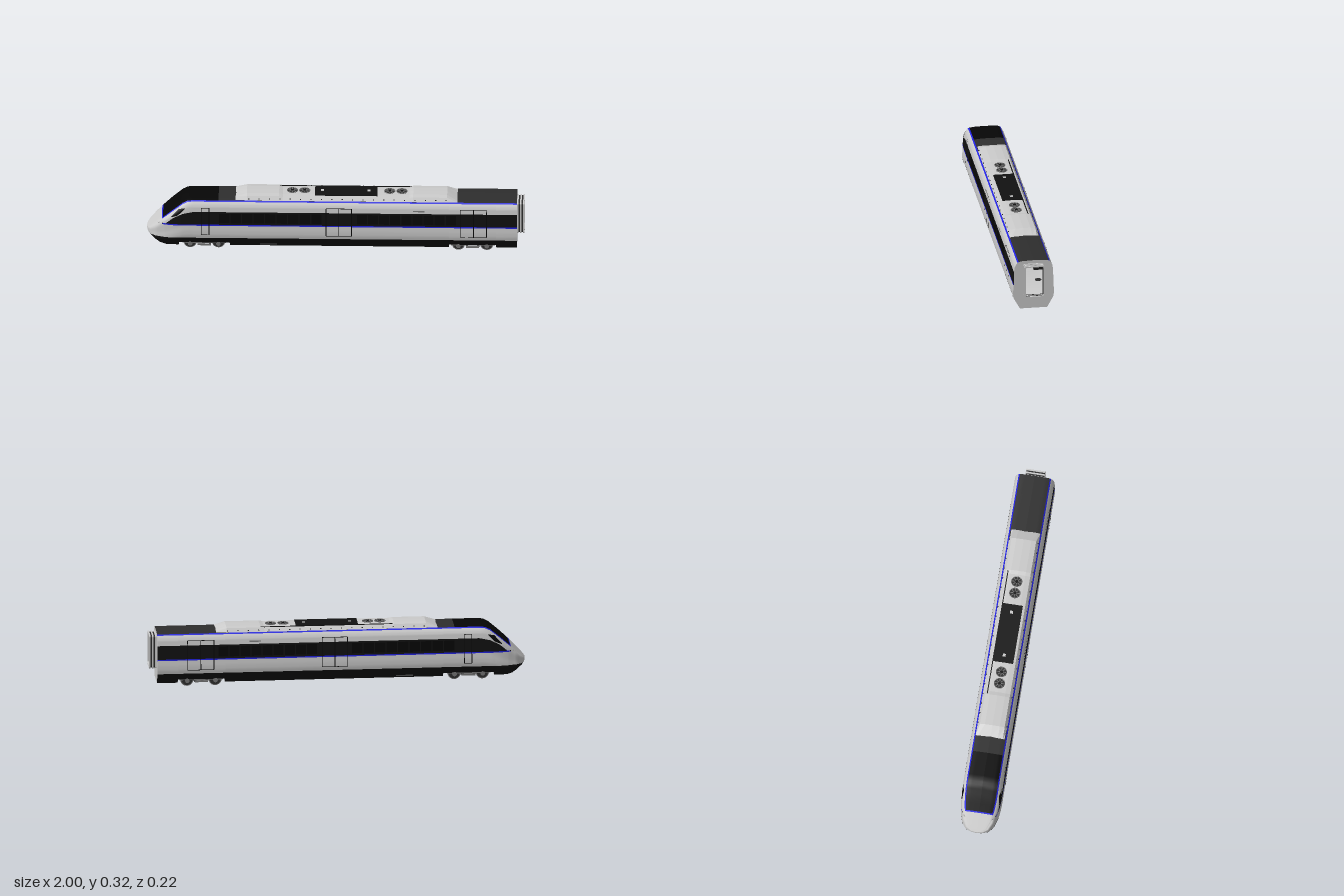
import * as THREE from 'three';

const mat = (color) => new THREE.MeshStandardMaterial({ color, side: THREE.DoubleSide });

// piecewise-linear lookup in a table of [key, value] pairs
function interp(table, k) {
  if (k <= table[0][0]) return table[0][1];
  for (let i = 1; i < table.length; i++) {
    const [k0, v0] = table[i - 1], [k1, v1] = table[i];
    if (k <= k1) return v0 + (v1 - v0) * (k - k0) / (k1 - k0);
  }
  return table[table.length - 1][1];
}

// body rules: half width by height, then nose top, bottom and plan taper by x
const PROFILE = [[0.022, 0.073], [0.08, 0.105], [0.1, 0.109], [0.125, 0.109], [0.16, 0.106], [0.235, 0.105],
  [0.262, 0.101], [0.277, 0.094], [0.288, 0.086], [0.2925, 0.08], [0.296, 0.06], [0.298, 0]];
const TOP = [[-1, 0.1], [-0.985, 0.116], [-0.92, 0.182], [-0.86, 0.238], [-0.81, 0.281], [-0.785, 0.294], [-0.76, 0.298]];
const BOTTOM = [[-1, 0.088], [-0.985, 0.07], [-0.96, 0.05], [-0.93, 0.03], [-0.9, 0.022]];
const PLAN = [[-1, 0.02], [-0.996, 0.3], [-0.982, 0.57], [-0.95, 0.78], [-0.9, 0.92], [-0.86, 0.98], [-0.82, 1]];
const LOW = 0.022, HIGH = 0.298, END = 0.96;
const topY = (x) => interp(TOP, x), bottomY = (x) => interp(BOTTOM, x);
const bodyY = (x, n) => bottomY(x) + (n - LOW) / (HIGH - LOW) * (topY(x) - bottomY(x));
const halfZ = (x, y) => interp(PLAN, x) *
  interp(PROFILE, LOW + (HIGH - LOW) * (y - bottomY(x)) / (topY(x) - bottomY(x)));
const inPit = (x) => (x > -0.83 && x < -0.56) || (x > 0.6 && x < 0.85);

// stations along the body, dense at the nose and doubled at the pit edges
const STATIONS = [-1, -0.998, -0.996, -0.99, -0.982, -0.97, -0.96, -0.95, -0.94, -0.93, -0.92, -0.91, -0.9, -0.88,
  -0.86, -0.84, -0.82, -0.81, -0.8, -0.785, -0.77, -0.76, -0.75, -0.62, -0.2, 0.3, END];
for (const e of [-0.83, -0.56, 0.6, 0.85]) STATIONS.push(e - 0.0005, e + 0.0005);
STATIONS.sort((a, b) => a - b);

// grid surface from rows of points
function grid(nu, nv, point, flip) {
  const pos = [], idx = [];
  for (let i = 0; i <= nu; i++) for (let j = 0; j <= nv; j++) pos.push(...point(i, j / nv));
  for (let i = 0; i < nu; i++) for (let j = 0; j < nv; j++) {
    const a = i * (nv + 1) + j, b = a + nv + 1;
    if (flip) idx.push(a, b + 1, b, a, a + 1, b + 1);
    else idx.push(a, b, b + 1, a, b + 1, a + 1);
  }
  const g = new THREE.BufferGeometry();
  g.setAttribute('position', new THREE.Float32BufferAttribute(pos, 3));
  g.setIndex(idx);
  g.computeVertexNormals();
  return g;
}

export function createModel() {
  const model = new THREE.Group();
  const grey = mat(0xcccccc), black = mat(0x111111), glass = mat(0x060606), dark = mat(0x2e2e2e);
  const blue = mat(0x2020e0), metal = mat(0x777777);

  function add(name, geometry, material, x = 0, y = 0, z = 0, parent = model) {
    const m = new THREE.Mesh(geometry, material);
    m.name = name;
    m.position.set(x, y, z);
    parent.add(m);
    return m;
  }
  const box = (name, material, w, h, d, x, y, z, parent) =>
    add(name, new THREE.BoxGeometry(w, h, d), material, x, y, z, parent);

  // strip of body skin between two height curves, on both sides
  function strip(name, material, x0, x1, lo, hi, rows = 8, out = 0) {
    const xs = [x0, ...STATIONS.filter((x) => x > x0 + 1e-4 && x < x1 - 1e-4), x1];
    const clampY = (x, y) => Math.min(Math.max(y, bottomY(x)), topY(x));
    for (const s of [1, -1]) {
      add(name, grid(xs.length - 1, rows, (i, t) => {
        const x = xs[i], a = clampY(x, lo(x)), y = a + (clampY(x, hi(x)) - a) * t;
        return [x, y, s * (halfZ(x, y) + out)];
      }, s < 0), material);
    }
  }
  const panel = (name, material, x0, x1, y0, y1, out = 0.0012) =>
    strip(name, material, x0, x1, () => y0, () => y1, 8, out);

  // livery curves
  const skirtLow = (x) => inPit(x) ? 0.042 : bottomY(x);
  const skirtTop = () => 0.08;
  const lineLow = () => 0.153;
  const lineTop = (x) => x < -0.915 ? 0.153 : 0.16;
  const bandTop = (x) => Math.max(lineTop(x), interp([[-0.9, 0.16], [-0.86, 0.195], [-0.81, 0.222], [-0.75, 0.235]], x));
  const edgeLow = (x) => bodyY(x, 0.287);
  const edgeTop = (x) => bodyY(x, 0.2925);

  strip('skirt', black, -1, END, skirtLow, skirtTop);
  strip('lowerSide', grey, -1, END, skirtTop, lineLow);
  strip('lowerStripe', blue, -1, END, lineLow, lineTop, 1);
  strip('windowBand', black, -0.92, END, lineTop, bandTop);
  strip('noseSide', grey, -1, -0.92, lineTop, edgeLow, 10);
  strip('upperSide', grey, -0.92, END, bandTop, edgeLow, 10);
  strip('noseTop', grey, -1, -0.92, edgeLow, topY, 10);
  strip('upperStripe', blue, -0.92, END, edgeLow, edgeTop, 2);
  strip('windshieldStripe', blue, -0.92, -0.914, edgeTop, topY, 6);
  strip('windshield', glass, -0.914, -0.62, edgeTop, topY, 6);
  strip('roof', dark, -0.62, END, edgeTop, topY, 6);

  // underside with recesses for the bogies
  const floorY = (x) => inPit(x) ? 0.075 : bottomY(x);
  add('underside', grid(STATIONS.length - 1, 4, (i, t) => {
    const x = STATIONS[i], y = floorY(x);
    return [x, y, (t * 2 - 1) * halfZ(x, y)];
  }, false), grey);

  // slanted cab side window
  strip('cabWindow', glass, -0.872, -0.795,
    (x) => interp([[-0.872, 0.198], [-0.835, 0.212], [-0.795, 0.253]], x),
    (x) => interp([[-0.872, 0.2], [-0.83, 0.247], [-0.795, 0.255]], x), 6, 0.0015);

  // side windows
  const row = (x0, x1, count) => {
    const step = (x1 - x0) / count;
    for (let i = 0; i < count; i++) panel('sideWindow', glass, x0 + i * step + 0.003, x0 + (i + 1) * step - 0.003, 0.17, 0.226, 0.0008);
  };
  row(-0.62, -0.07, 9);
  row(0.11, 0.64, 9);

  // door outlines
  function door(x0, x1, y0, y1, leaves) {
    for (let i = 0; i <= leaves; i++) {
      const x = x0 + (x1 - x0) * i / leaves;
      panel('doorSeam', glass, x - 0.002, x + 0.002, y0, y1);
    }
    for (const y of [y0, y1]) panel('doorSeam', glass, x0, x1, y - 0.0015, y + 0.0015);
  }
  door(-0.71, -0.67, 0.1, 0.257, 1);
  door(-0.05, 0.085, 0.1, 0.26, 2);
  door(0.66, 0.8, 0.1, 0.26, 2);
  panel('skirtVent', metal, -0.4, -0.31, 0.029, 0.037);
  panel('sideSign', metal, 0.41, 0.47, 0.246, 0.253);

  // rounded rectangle in the end plane
  function roundRect(path, w, y0, y1, r) {
    path.moveTo(-w + r, y0).lineTo(w - r, y0).quadraticCurveTo(w, y0, w, y0 + r);
    path.lineTo(w, y1 - r).quadraticCurveTo(w, y1, w - r, y1);
    path.lineTo(-w + r, y1).quadraticCurveTo(-w, y1, -w, y1 - r);
    path.lineTo(-w, y0 + r).quadraticCurveTo(-w, y0, -w + r, y0);
    return path;
  }
  const doorway = () => roundRect(new THREE.Path(), 0.047, 0.104, 0.273, 0.008);

  // rear wall with doorway, then the ribbed gangway
  const right = PROFILE.map(([y, z]) => new THREE.Vector2(z, y));
  const left = PROFILE.slice(0, -1).reverse().map(([y, z]) => new THREE.Vector2(-z, y));
  const wall = new THREE.Shape([...right, ...left]);
  wall.holes.push(doorway());
  add('rearWall', new THREE.ShapeGeometry(wall), grey, END).rotation.y = Math.PI / 2;
  for (let i = 0; i < 5; i++) {
    const ring = roundRect(new THREE.Shape(), i % 2 ? 0.05 : 0.054, i % 2 ? 0.101 : 0.097, i % 2 ? 0.275 : 0.279, 0.01);
    ring.holes.push(doorway());
    add('gangwayRib', new THREE.ExtrudeGeometry(ring, { depth: 0.008, bevelEnabled: false, curveSegments: 6 }),
      i % 2 ? dark : grey, END + i * 0.008).rotation.y = Math.PI / 2;
  }

  // roof equipment fairing with sloped ends
  const fairing = [[-0.53, 0], [-0.47, 1], [-0.3, 1], [-0.28, 0.8], [0.39, 0.8], [0.41, 1], [0.59, 1], [0.645, 0]];
  const section = [[-0.08, 0], [-0.066, 0.8], [-0.04, 0.95], [0, 1], [0.04, 0.95], [0.066, 0.8], [0.08, 0]];
  const fairingGeo = grid(fairing.length - 1, section.length - 1, (i, t) => {
    const [z, h] = section[Math.round(t * (section.length - 1))];
    return [fairing[i][0], 0.292 + h * (0.005 + 0.022 * fairing[i][1]), z];
  }, true).toNonIndexed();
  fairingGeo.computeVertexNormals();
  add('roofFairing', fairingGeo, grey);
  box('roofPanel', black, 0.33, 0.004, 0.108, 0.055, 0.3145, 0);
  for (const x of [-0.07, 0.175]) box('roofHatch', grey, 0.016, 0.003, 0.016, x, 0.317, 0);
  box('roofCable', black, 0.71, 0.004, 0.005, 0.055, 0.3125, -0.055);
  for (const s of [1, -1]) for (let i = 0; i < 20; i++)
    box('roofBolt', dark, 0.006, 0.004, 0.004, -0.46 + i * 0.055, 0.302, s * 0.077);

  // roof fans
  for (const x of [-0.23, -0.165, 0.285, 0.35]) {
    add('fanWell', new THREE.CylinderGeometry(0.028, 0.028, 0.005, 24), dark, x, 0.314, 0);
    const rim = add('fanRim', new THREE.TorusGeometry(0.028, 0.002, 6, 24), metal, x, 0.316, 0);
    rim.rotation.x = Math.PI / 2;
    for (let i = 0; i < 4; i++) box('fanBlade', metal, 0.05, 0.002, 0.004, x, 0.317, 0).rotation.y = i * Math.PI / 4;
    add('fanHub', new THREE.CylinderGeometry(0.008, 0.008, 0.004, 12), black, x, 0.317, 0);
  }

  // bogies
  for (const cx of [-0.695, 0.725]) {
    const bogie = new THREE.Group();
    bogie.name = 'bogie';
    bogie.position.x = cx;
    model.add(bogie);
    const roller = (name, r, len, material, x, z) => {
      add(name, new THREE.CylinderGeometry(r, r, len, 24), material, x, 0.035, z, bogie).rotation.x = Math.PI / 2;
    };
    for (const x of [-0.075, 0.075]) {
      roller('axle', 0.007, 0.17, metal, x, 0);
      for (const s of [1, -1]) {
        roller('wheel', 0.035, 0.008, metal, x, s * 0.057);
        roller('wheelFlange', 0.03, 0.012, dark, x, s * 0.057);
        roller('axleBox', 0.012, 0.016, metal, x, s * 0.08);
        box('brakeUnit', dark, 0.012, 0.025, 0.012, x - Math.sign(x) * 0.045, 0.032, s * 0.057, bogie);
      }
    }
    for (const s of [1, -1]) {
      box('sideFrame', metal, 0.23, 0.012, 0.012, 0, 0.044, s * 0.078, bogie);
      box('damper', metal, 0.07, 0.008, 0.008, 0, 0.03, s * 0.084, bogie);
      box('pullRod', metal, 0.2, 0.01, 0.006, 0, 0.022, s * 0.031, bogie);
      add('airSpring', new THREE.CylinderGeometry(0.018, 0.018, 0.028, 16), dark, 0, 0.062, s * 0.06, bogie);
    }
    box('bolster', metal, 0.04, 0.018, 0.15, 0, 0.045, 0, bogie);
  }
  return model;
}
